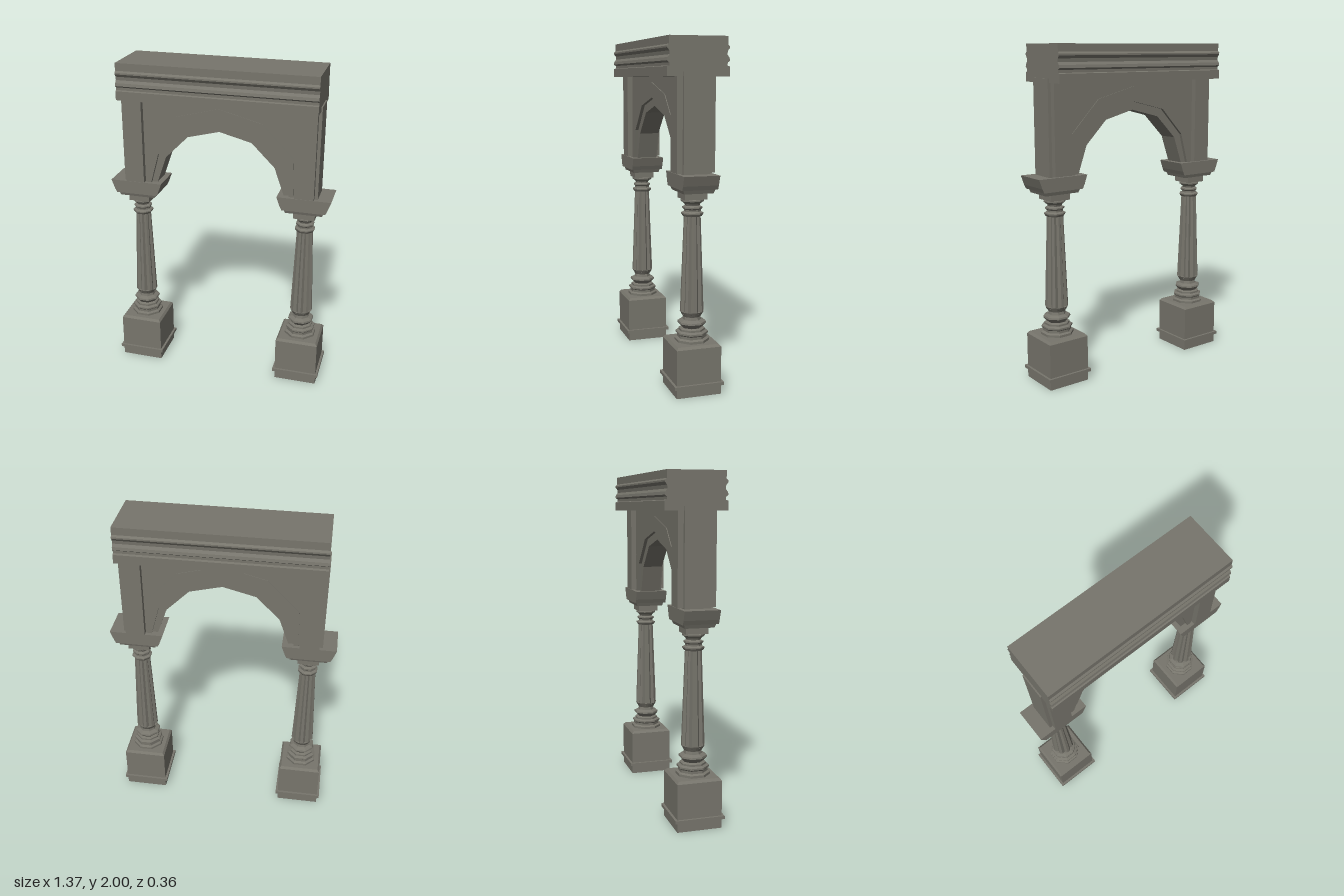
import * as THREE from 'three';

const stone = new THREE.MeshStandardMaterial({ color: 0x77756c, flatShading: true });
const ZC = 0.008; // centre plane of the columns and wall

function add(parent, name, geometry, x = 0, y = 0, z = 0) {
  const mesh = new THREE.Mesh(geometry, stone);
  mesh.name = name;
  mesh.position.set(x, y, z);
  parent.add(mesh);
  return mesh;
}

// Straight extrusion of an outline, centred on z = 0
function prism(points, depth) {
  const shape = new THREE.Shape(points.map(([x, y]) => new THREE.Vector2(x, y)));
  const g = new THREE.ExtrudeGeometry(shape, { depth, bevelEnabled: false });
  return g.translate(0, 0, -depth / 2);
}

// Right half of a line, from foot to crown, continued down the left side
const mirrorX = half => [...half, ...half.filter(p => p[0] > 0).reverse().map(([x, y]) => [-x, y])];

// Region between two symmetric lines
const archBand = (outer, inner, depth) =>
  prism([...mirrorX(outer), ...mirrorX(inner).reverse()], depth);

// Eight-sided turned moulding; radii are measured to the flats
function turned(profile) {
  const k = 1 / Math.cos(Math.PI / 8);
  const pts = profile.map(([r, y]) => new THREE.Vector2(r * k, y));
  return new THREE.LatheGeometry(pts, 8).rotateY(Math.PI / 8);
}

// Square block with a tapered or bevelled top
function frustum(halfBottom, halfTop, height) {
  return new THREE.CylinderGeometry(halfTop * Math.SQRT2, halfBottom * Math.SQRT2, height, 4)
    .rotateY(Math.PI / 4);
}

// Tapered shaft with eight V-shaped flutes
function flutedShaft(rTop, rBottom, height) {
  const g = new THREE.CylinderGeometry(rTop, rBottom, height, 24, 1);
  const p = g.attributes.position;
  for (let i = 0; i < p.count; i++) {
    const step = Math.round(Math.atan2(p.getX(i), p.getZ(i)) / (Math.PI / 12));
    if (((step % 3) + 3) % 3 === 0) {
      p.setX(i, p.getX(i) * 0.8);
      p.setZ(i, p.getZ(i) * 0.8);
    }
  }
  return g.rotateY(Math.PI / 8);
}

function createColumn(name) {
  const col = new THREE.Group();
  col.name = name;

  // Pedestal
  add(col, 'pedestal', new THREE.BoxGeometry(0.264, 0.28, 0.264), 0, 0.14);
  add(col, 'pedestalBevel', frustum(0.132, 0.12, 0.014), 0, 0.287);
  add(col, 'pedestalBand', new THREE.BoxGeometry(0.292, 0.018, 0.292), 0, 0.065);

  // Base mouldings
  add(col, 'columnBase', turned([
    [0, 0.292], [0.092, 0.292], [0.092, 0.308], [0.078, 0.315], [0.078, 0.33],
    [0.086, 0.338], [0.086, 0.348], [0.07, 0.355], [0.07, 0.366], [0.054, 0.372],
    [0.076, 0.398], [0.074, 0.408], [0.05, 0.418], [0.045, 0.44], [0.06, 0.455], [0, 0.455],
  ]));

  // Shaft
  add(col, 'shaftFoot', new THREE.CylinderGeometry(0.069, 0.052, 0.03, 24), 0, 0.452);
  add(col, 'shaft', flutedShaft(0.048, 0.069, 0.56), 0, 0.747);

  // Neck mouldings
  add(col, 'neck', turned([
    [0, 1.015], [0.05, 1.015], [0.058, 1.028], [0.058, 1.035], [0.044, 1.042],
    [0.044, 1.052], [0.052, 1.06], [0.052, 1.068], [0.038, 1.075], [0.042, 1.085],
    [0.06, 1.1], [0.06, 1.108], [0.052, 1.112], [0.052, 1.16], [0, 1.16],
  ]));
  add(col, 'neckBlock', new THREE.BoxGeometry(0.13, 0.045, 0.13), 0, 1.135);

  // Capital: flares sideways, straight at front and back
  add(col, 'capitalFoot', frustum(0.09, 0.1, 0.03).scale(1.22, 1, 0.95), 0, 1.168);
  add(col, 'capital', prism([
    [-0.13, 1.175], [0.13, 1.175], [0.142, 1.2], [0.162, 1.255], [-0.162, 1.255], [-0.142, 1.2],
  ], 0.206));
  return col;
}

export function createModel() {
  const model = new THREE.Group();
  model.name = 'archway';

  for (const side of [-1, 1]) {
    const label = side > 0 ? 'left' : 'right';
    const col = createColumn(label + 'Column');
    col.position.set(side * 0.521, 0, ZC);
    model.add(col);

    // Pilaster over the capital, proud of the wall on both faces
    add(model, label + 'Pilaster', new THREE.BoxGeometry(0.116, 0.535, 0.222), side * 0.523, 1.5275, ZC);
  }

  // Wall with faceted arch: spandrel, raised band and recessed inner ring
  const wallEdge = [[0.6, 1.25], [0.6, 1.81]];
  const bandLine = [[0.455, 1.25], [0.45, 1.49], [0.26, 1.685], [0, 1.752]];
  const ringLine = [[0.43, 1.25], [0.378, 1.44], [0.222, 1.605], [0, 1.66]];
  const openLine = [[0.395, 1.25], [0.335, 1.42], [0.195, 1.56], [0, 1.61]];
  add(model, 'spandrelWall', archBand(wallEdge, bandLine, 0.156), 0, 0, ZC);
  add(model, 'archBand', archBand(bandLine, ringLine, 0.164), 0, 0, ZC);
  add(model, 'archRing', archBand(ringLine, openLine, 0.125), 0, 0, ZC);

  // Lintel with moulded front and back
  const face = [
    [0.18, 1.785], [0.18, 1.838], [0.166, 1.842], [0.166, 1.858], [0.18, 1.868],
    [0.176, 1.885], [0.164, 1.9], [0.166, 1.92], [0.178, 1.936], [0.178, 1.945],
    [0.168, 1.955], [0.168, 2.0],
  ];
  const outline = [...face, ...face.slice().reverse().map(([z, y]) => [-z, y])];
  add(model, 'lintel', prism(outline, 1.184).rotateY(Math.PI / 2));

  return model;
}
